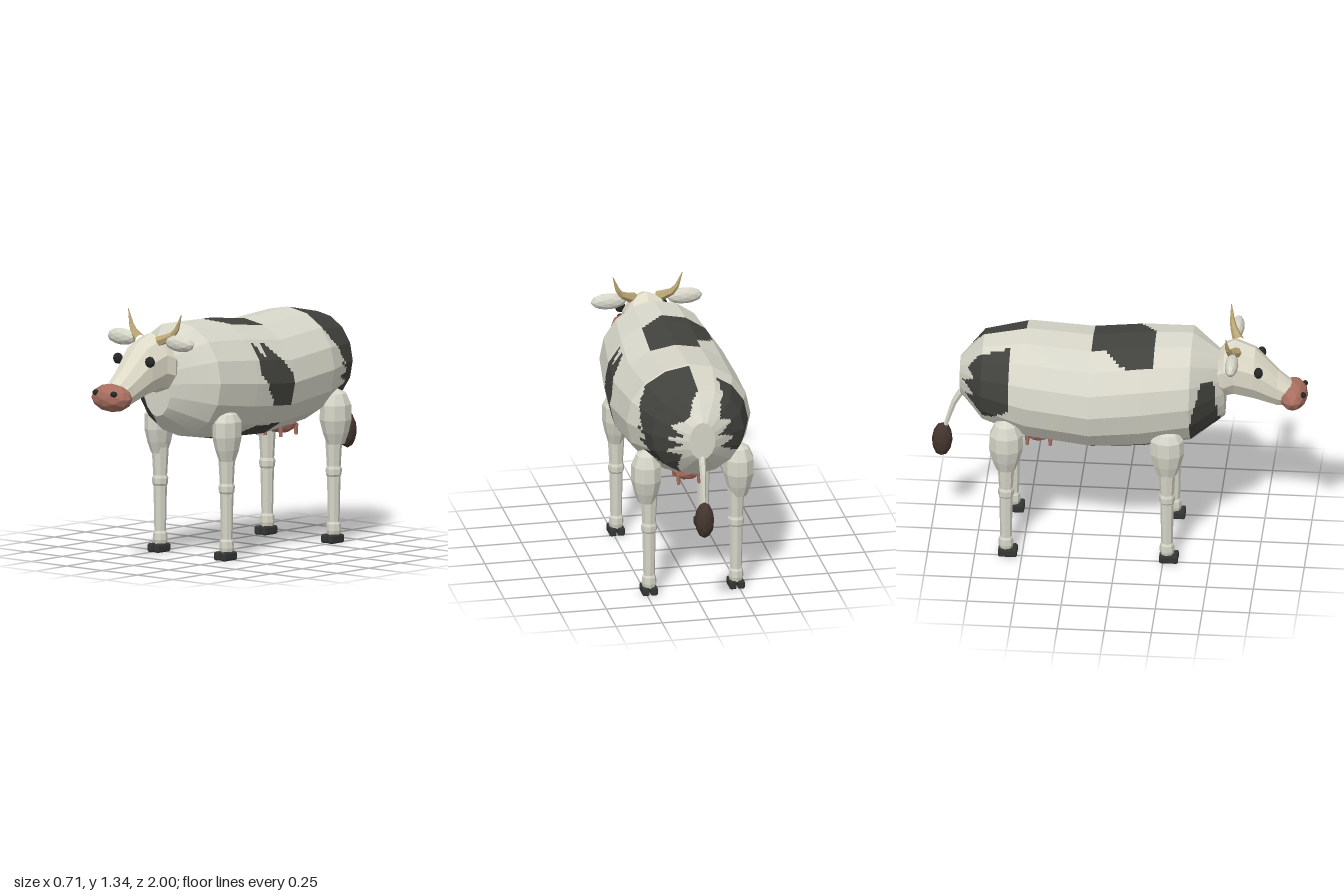
import * as THREE from 'three';
import { RoundedBoxGeometry } from 'three/addons/geometries/RoundedBoxGeometry.js';

const material = (color) => new THREE.MeshStandardMaterial({ color, flatShading: true });
const HIDE = material(0xd6d5c8), FACE = material(0xdedac8), DARK = material(0x41413d);
const PINK = material(0xa86f60), HORN = material(0xb9a574), HOOF = material(0x333634);
const BLACK = material(0x262624), TUFT = material(0x44352e);

function add(parent, name, geometry, mat, x = 0, y = 0, z = 0) {
  const mesh = new THREE.Mesh(geometry, mat);
  mesh.name = name;
  mesh.position.set(x, y, z);
  parent.add(mesh);
  return mesh;
}

function blob(parent, name, mat, [x, y, z], [rx, ry, rz], detail = 1) {
  const mesh = add(parent, name, new THREE.IcosahedronGeometry(1, detail), mat, x, y, z);
  mesh.scale.set(rx, ry, rz);
  return mesh;
}

function toGeometry(points) {
  const geometry = new THREE.BufferGeometry().setFromPoints(points);
  geometry.computeVertexNormals();
  return geometry;
}

// Capped loft over rings [z, bottom, top, half width], running from front to back.
// Each facet is split into cells; pick(side, z) tells which cells go to the second list.
function loft(rings, sides, across = 1, along = 1, pick = () => false) {
  const lists = [[], []];
  const corner = (i, k) => {
    const [z, bottom, top, rx] = rings[i];
    const a = (k / sides) * Math.PI * 2;
    return new THREE.Vector3(Math.sin(a) * rx, (top + bottom) / 2 + (Math.cos(a) * (top - bottom)) / 2, z);
  };
  for (let i = 0; i < rings.length - 1; i++) {
    for (let k = -sides / 2; k < sides / 2; k++) {
      const at = (u, v) => corner(i, k).lerp(corner(i, k + 1), u)
        .lerp(corner(i + 1, k).lerp(corner(i + 1, k + 1), u), v);
      for (let m = 0; m < across; m++) {
        for (let n = 0; n < along; n++) {
          const [u0, u1, v0, v1] = [m / across, (m + 1) / across, n / along, (n + 1) / along];
          const [a, b, c, d] = [at(u0, v0), at(u1, v0), at(u1, v1), at(u0, v1)];
          lists[pick(k + (u0 + u1) / 2, (a.z + c.z) / 2) ? 1 : 0].push(a, b, c, a, c, d);
        }
      }
    }
  }
  for (const i of [0, rings.length - 1]) {
    const [z, bottom, top] = rings[i];
    const centre = new THREE.Vector3(0, (top + bottom) / 2, z);
    for (let k = 0; k < sides; k++) {
      const [p, q] = [corner(i, k), corner(i, k + 1)];
      lists[0].push(centre, ...(i === 0 ? [q, p] : [p, q]));
    }
  }
  return lists.map(toGeometry);
}

// Coat patches as outlines of [side number counted from the spine, z]
const PATCHES = [
  [[-2, .2], [-2, .05], [-1, -.07], [-1, -.14], [1, -.14], [1, .1], [0, .2]],
  [[2, .1], [3, .03], [2, .03], [3.5, -.14], [5, -.14], [5, -.02], [3.5, .1]],
  [[0, -.49], [2, -.49], [4, -.63], [3.7, -.56], [4.4, -.66], [4.5, -.57], [5.1, -.67], [5.2, -.57],
    [6, -.7], [7, -.72], [5.6, -.81], [5, -.75], [4.5, -.83], [4, -.76], [3.5, -.83], [3, -.77],
    [2, -.81], [1, -.8], [0, -.72]],
  [[-1.2, -.57], [-4.5, -.57], [-5.5, -.7], [-5, -.82], [-4.3, -.76], [-3.6, -.83], [-3, -.76],
    [-2.2, -.8], [-1.6, -.76]],
  [[-2.8, .45], [-2.8, .51], [-7, .54], [-6.6, .39], [-5, .39]],
  [[6, -.14], [6.2, .03], [8, .2], [9.5, .2], [9.5, -.14]],
];

function inside(outline, x, y) {
  let hit = false;
  outline.forEach(([ax, ay], i) => {
    const [bx, by] = outline[(i + 1) % outline.length];
    if ((ay > y) !== (by > y) && x < ax + ((bx - ax) * (y - ay)) / (by - ay)) hit = !hit;
  });
  return hit;
}

// Tube along a curve whose radius shrinks from r0 to r1
function taperedTube(points, r0, r1, segments, sides) {
  const curve = new THREE.CatmullRomCurve3(points.map((p) => new THREE.Vector3(...p)));
  const geometry = new THREE.TubeGeometry(curve, segments, 1, sides);
  const pos = geometry.attributes.position, v = new THREE.Vector3();
  for (let i = 0; i < pos.count; i++) {
    const t = Math.floor(i / (sides + 1)) / segments;
    const c = curve.getPointAt(t);
    v.fromBufferAttribute(pos, i).sub(c).multiplyScalar(r0 + (r1 - r0) * t).add(c);
    pos.setXYZ(i, v.x, v.y, v.z);
  }
  geometry.computeVertexNormals();
  return geometry;
}

function makeLeg(name, side, z, front) {
  const leg = new THREE.Group();
  leg.name = name;
  leg.position.set(side * .235, 0, z);
  // Fetlock, shin, knee and upper leg in one turned profile
  const profile = [[0, .04], [.034, .04], [.04, .065], [.038, .1], [.031, .112], [.036, .355],
    [.042, .365], [.043, .395], [.037, .41], [.048, .6], [0, .64]];
  add(leg, 'shank', new THREE.LatheGeometry(profile.map((p) => new THREE.Vector2(...p)), 8), HIDE);
  // Shoulder or thigh, wide above and narrow below
  const top = front ? .81 : .83;
  const muscle = [[.045, .53], [.066, .59], [.082, .66], [.08, .74], [.055, top - .03], [0, top]];
  const upper = add(leg, front ? 'shoulder' : 'thigh',
    new THREE.LatheGeometry(muscle.map((p) => new THREE.Vector2(...p)), 9), HIDE, side * (front ? .005 : .015));
  upper.scale.set(front ? .85 : 1, 1, 1.12);
  // Cloven hoof
  for (const s of [-1, 1]) {
    add(leg, 'hoofToe', new RoundedBoxGeometry(.038, .046, .1, 1, .009), HOOF, s * .022, .023, .01);
  }
  return leg;
}

export function createModel() {
  const cow = new THREE.Group();
  cow.name = 'cow';

  // Barrel body with dark patches
  const [coat, patches] = loft([
    [.56, .775, 1.14, .1], [.39, .655, 1.265, .3], [.13, .612, 1.258, .335], [-.14, .6, 1.225, .355],
    [-.48, .64, 1.25, .335], [-.72, .72, 1.2, .25], [-.845, .85, 1.06, .07],
  ], 16, 6, 16, (k, z) => PATCHES.some((p) => inside(p, k, z) || inside(p, k + 16, z)));
  add(cow, 'body', coat, HIDE);
  add(cow, 'coatPatches', patches, DARK);

  // Head, tapering towards the muzzle
  const head = new THREE.Group();
  head.name = 'head';
  cow.add(head);
  const [skull] = loft([
    [.93, .86, .975, .07], [.84, .85, 1.055, .083], [.72, .888, 1.185, .115], [.61, .912, 1.23, .125],
    [.56, .905, 1.2, .14], [.51, .95, 1.13, .11],
  ], 10);
  add(head, 'skull', skull, FACE);
  blob(head, 'muzzle', PINK, [0, .915, .922], [.128, .076, .078]);

  for (const s of [-1, 1]) {
    blob(head, 'nostril', BLACK, [s * .063, .945, .978], [.021, .016, .016]);
    blob(head, 'eye', BLACK, [s * .113, 1.097, .745], [.029, .03, .024]);
    blob(head, 'ear', HIDE, [s * .205, 1.19, .61], [.098, .045, .036]);
    add(head, 'horn', taperedTube(
      [[s * .065, 1.19, .625], [s * .145, 1.235, .59], [s * .187, 1.338, .578]], .03, .002, 5, 6), HORN);
    const sideName = s > 0 ? 'Left' : 'Right';
    cow.add(makeLeg('front' + sideName + 'Leg', s, .27, true));
    cow.add(makeLeg('rear' + sideName + 'Leg', s, -.585, false));
  }

  // Udder with four teats
  blob(cow, 'udder', PINK, [0, .635, -.43], [.085, .055, .085]);
  for (const x of [-.055, .055]) {
    for (const z of [-.365, -.487]) {
      add(cow, 'teat', new THREE.CylinderGeometry(.013, .009, .06, 6), PINK, x, .6, z);
    }
  }

  // Tail and tuft
  add(cow, 'tail', taperedTube(
    [[0, .88, -.815], [.003, .8, -.87], [.008, .7, -.905], [.01, .6, -.935]], .02, .011, 5, 6), HIDE);
  const tuft = blob(cow, 'tailTuft', TUFT, [.01, .545, -.944], [.052, .1, .055]);
  tuft.rotation.x = .05;

  return cow;
}
